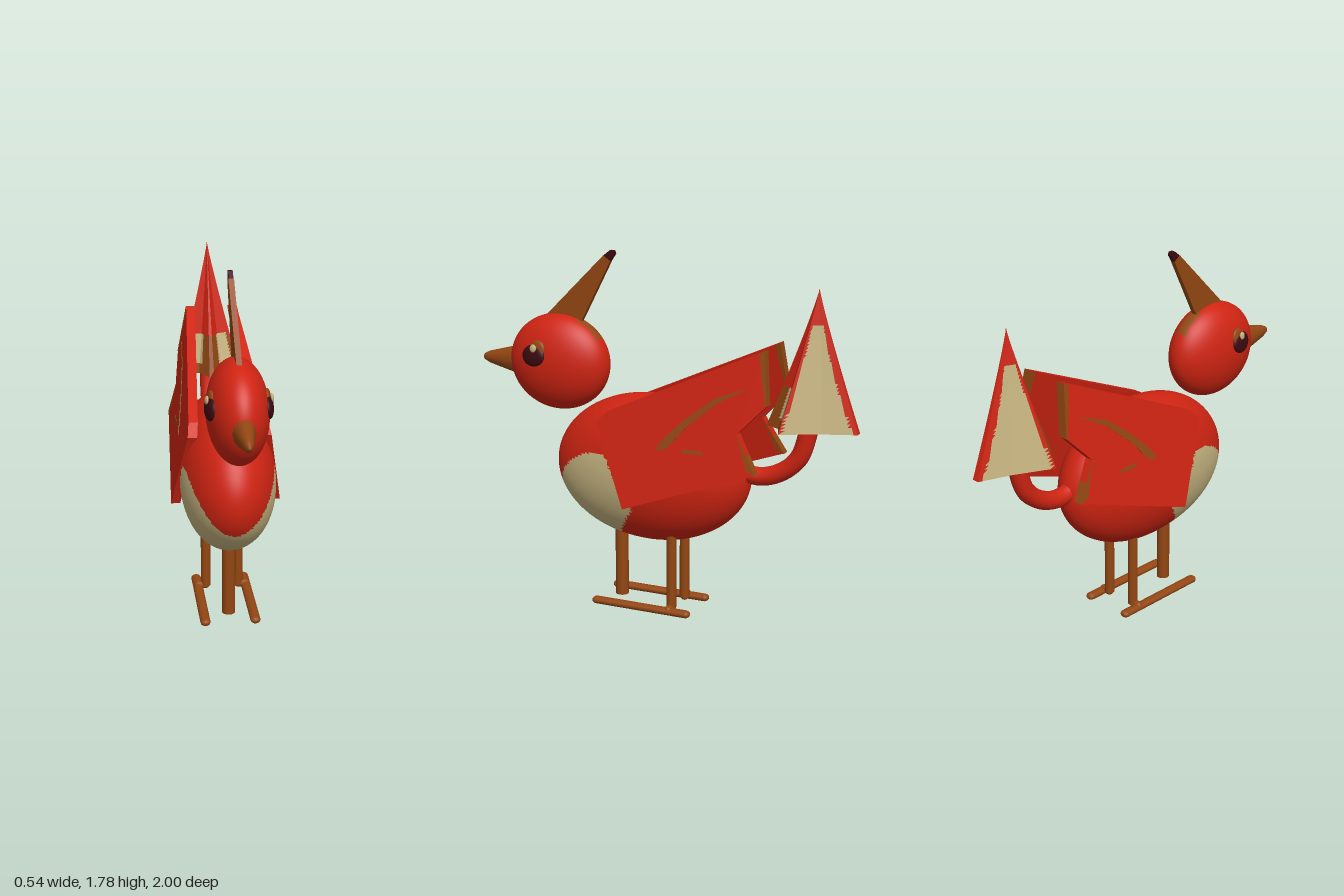
import * as THREE from 'three';

const mat = (name, color, side = THREE.FrontSide) => {
  const m = new THREE.MeshStandardMaterial({ color, side });
  m.name = name;
  return m;
};

export function createModel() {
  const red = mat('red', 0xcf2412);
  const brown = mat('brown', 0x944712);
  const cream = mat('cream', 0xc6b480);
  const maroon = mat('maroon', 0x3c0a10);
  const palette = [red, brown, cream, maroon];
  const model = new THREE.Group();
  model.name = 'bird';

  const add = (name, geo, material) => {
    const mesh = new THREE.Mesh(geo, material);
    mesh.name = name;
    model.add(mesh);
    return mesh;
  };

  // Sorts the triangles into one material group per colour, chosen at each centre
  const paint = (source, pick) => {
    const geo = source.index ? source.toNonIndexed() : source;
    if (!geo.attributes.normal) geo.computeVertexNormals();
    const p = geo.attributes.position;
    const buckets = palette.map(() => []);
    for (let i = 0; i < p.count; i += 3) {
      const mid = (get) => (p[get](i) + p[get](i + 1) + p[get](i + 2)) / 3;
      buckets[pick(mid('getX'), mid('getY'), mid('getZ'))].push(i, i + 1, i + 2);
    }
    geo.clearGroups();
    let start = 0;
    buckets.forEach((b, k) => {
      if (b.length) geo.addGroup(start, b.length, k);
      start += b.length;
    });
    geo.setIndex(buckets.flat());
    return geo;
  };

  // Reflects a geometry across x = 0 and keeps its faces outward
  const mirror = (source) => {
    const geo = source.index ? source.toNonIndexed() : source.clone();
    geo.scale(-1, 1, 1);
    for (const a of Object.values(geo.attributes)) {
      const n = a.itemSize;
      for (let i = 0; i < a.count; i += 3) {
        for (let k = 0; k < n; k++) {
          const u = (i + 1) * n + k, v = (i + 2) * n + k;
          [a.array[u], a.array[v]] = [a.array[v], a.array[u]];
        }
      }
    }
    return geo;
  };
  const addPair = (name, geo, material) => {
    add('left' + name, geo, material);
    add('right' + name, mirror(geo), material);
  };

  // Plate outlined by [z, y] points, reaching from x0 to x1
  const plate = (points, x0, x1) => {
    const shape = new THREE.Shape(points.map(([z, y]) => new THREE.Vector2(-z, y)));
    return new THREE.ExtrudeGeometry(shape, { depth: x1 - x0, bevelEnabled: false })
      .rotateY(Math.PI / 2).translate(x0, 0, 0);
  };

  // Body with a cream belly under a V-shaped chest
  const body = new THREE.SphereGeometry(1, 128, 96).scale(0.23, 0.372, 0.512).translate(0, 0.722, 0.042);
  const bp = body.attributes.position;
  for (let i = 0; i < bp.count; i++) bp.setX(i, bp.getX(i) * (1 + 0.5 * Math.max(0, bp.getZ(i) - 0.1)));
  add('body', paint(body, (x, y, z) => {
    const rear = 0.07 + (y > 0.55 ? (y - 0.55) * 0.52 : (0.55 - y) * 0.68);
    return y < Math.min(0.82, 0.57 + 5.6 * x * x) && z > rear ? 2 : 0;
  }), palette);

  // Head with a brown patch behind the crest
  const head = new THREE.SphereGeometry(1, 64, 48).scale(0.143, 0.243, 0.27).translate(0, 1.21, 0.555);
  add('head', paint(head, (x, y, z) =>
    (Math.abs(x) < 0.032 && y > 1.3 && z > 0.33 && z < 0.45 ? 1 : 0)), palette);

  // Beak
  const beak = new THREE.LatheGeometry(
    [[0.078, 0], [0.058, 0.08], [0.032, 0.18], [0.016, 0.213], [0, 0.222]]
      .map(([r, y]) => new THREE.Vector2(r, y)), 12);
  add('beak', beak.rotateX(Math.PI / 2).scale(0.74, 1, 1).translate(0, 1.197, 0.778), brown);

  // Crest with a dark tip
  add('crest', plate([[0.655, 1.41], [0.44, 1.40], [0.268, 1.73], [0.305, 1.755]], -0.013, 0.013), brown);
  add('crestTip', plate([[0.305, 1.755], [0.268, 1.73], [0.245, 1.765], [0.25, 1.78], [0.27, 1.782]],
    -0.011, 0.011), maroon);

  // Eyes: flattened discs lying on the side of the head
  const tilt = new THREE.Quaternion().setFromUnitVectors(
    new THREE.Vector3(1, 0, 0), new THREE.Vector3(6.6, 0.83, 1.17).normalize());
  const disc = (rx, ry, rz, x, y, z) =>
    new THREE.SphereGeometry(1, 24, 16).scale(rx, ry, rz).applyQuaternion(tilt).translate(x, y, z);
  addPair('EyePatch', disc(0.014, 0.045, 0.045, 0.129, 1.288, 0.615), brown);
  addPair('Eye', disc(0.02, 0.054, 0.067, 0.132, 1.255, 0.636), maroon);
  addPair('EyeHighlight', disc(0.008, 0.02, 0.019, 0.146, 1.294, 0.63), cream);

  // Wings lean inward towards the top
  const lean = (geo) => {
    const p = geo.attributes.position;
    for (let i = 0; i < p.count; i++) p.setX(i, p.getX(i) + 0.27 - 0.173 * (p.getY(i) - 0.57));
    geo.computeVertexNormals();
    return geo;
  };
  const wingPlate = (points, x0, x1) => lean(plate(points, x0, x1));
  addPair('Wing', wingPlate([[0.26, 0.975], [0.2, 1.03], [-0.575, 1.38], [-0.605, 1.13],
    [-0.47, 0.99], [-0.57, 0.81], [0.09, 0.57]], -0.045, 0), red);
  addPair('WingUpperEdge', wingPlate([[-0.55, 1.366], [-0.577, 1.381], [-0.608, 1.13], [-0.598, 1.135]],
    -0.047, 0.002), brown);
  addPair('WingLowerEdge', wingPlate([[-0.468, 0.99], [-0.573, 0.808], [-0.53, 0.825]],
    -0.047, 0.002), brown);
  addPair('WingStreak', wingPlate([[-0.06, 0.87], [-0.1, 0.93], [-0.2, 1.03], [-0.35, 1.145], [-0.52, 1.21],
    [-0.36, 1.12], [-0.22, 1.0], [-0.12, 0.885]], -0.002, 0.003), brown);
  addPair('WingSmallStreak', wingPlate([[-0.2, 0.892], [-0.3, 0.89], [-0.31, 0.875], [-0.21, 0.872]],
    -0.002, 0.003), brown);

  // Curved tail
  const tailPath = new THREE.CatmullRomCurve3([[0.77, -0.38], [0.738, -0.5], [0.765, -0.61], [0.85, -0.71],
    [1.02, -0.765]].map(([y, z]) => new THREE.Vector3(0, y, z)));
  add('tail', new THREE.TubeGeometry(tailPath, 32, 0.045, 14), red);

  // Tail tip: kite-shaped section with hollow sides, shrinking to a point
  const half = [[0.018, -1], [0.07, -0.85], [0.16, -0.66], [0.06, -0.625], [0.012, -0.55]];
  const corners = [...half, ...half.map(([x, z]) => [-x, z]).reverse()];
  const ring = [];
  corners.forEach(([x, z], i) => {
    const [nx, nz] = corners[(i + 1) % corners.length];
    for (let k = 0; k < 8; k++) ring.push([x + (nx - x) * k / 8, z + (nz - z) * k / 8]);
  });
  const n = ring.length, levels = 40, pos = [], idx = [];
  const shrink = (t) => Math.max(0.004, Math.pow(1 - t, 1.1));
  for (let j = 0; j <= levels; j++) {
    const t = j / levels, s = shrink(t);
    for (const [x, z] of ring) pos.push(x * s, 1 + 0.665 * t, -0.79 + (z + 0.79) * s);
  }
  pos.push(0, 1, -0.75);
  for (let i = 0; i < n; i++) {
    const k = (i + 1) % n;
    for (let j = 0; j < levels; j++) {
      const a = j * n + i, b = j * n + k;
      idx.push(a, a + n, b, b, a + n, b + n);
    }
    idx.push(n * (levels + 1), i, k);
  }
  const tip = new THREE.BufferGeometry();
  tip.setAttribute('position', new THREE.Float32BufferAttribute(pos, 3));
  tip.setIndex(idx);
  add('tailTip', paint(tip, (x, y, z) => {
    const t = (y - 1) / 0.665, s = shrink(t);
    const X = Math.abs(x) / s, Z = -0.79 + (z + 0.79) / s;
    if (t < 0.001) return 2;
    if (Z < -0.67 - 0.04 * t && X > 0.025 + 0.03 * t && t < 0.75) return 2;
    if (Z > -0.655 && t < 0.3) return X > 0.05 && X < 0.13 && t > 0.08 ? 2 : 1;
    return 0;
  }), palette);

  // Legs
  const leg = (r, x, z, y0) =>
    new THREE.CylinderGeometry(r, r, 0.42 - y0, 12).translate(x, (0.42 + y0) / 2, z);
  add('frontLeg', leg(0.033, 0, 0.22, 0.025), brown);
  addPair('RearLeg', leg(0.025, 0.083, -0.09, 0.025), brown);

  // Long feet beside the rear legs, each joined by a short bridge
  const foot = new THREE.CapsuleGeometry(0.022, 0.49, 6, 12).rotateX(Math.PI / 2).scale(1.15, 0.85, 1);
  addPair('Foot', foot.translate(0.124, 0.0187, 0.06), brown);
  addPair('Ankle', new THREE.CapsuleGeometry(0.02, 0.04, 6, 10).rotateZ(Math.PI / 2)
    .translate(0.104, 0.026, -0.09), brown);

  return model;
}
